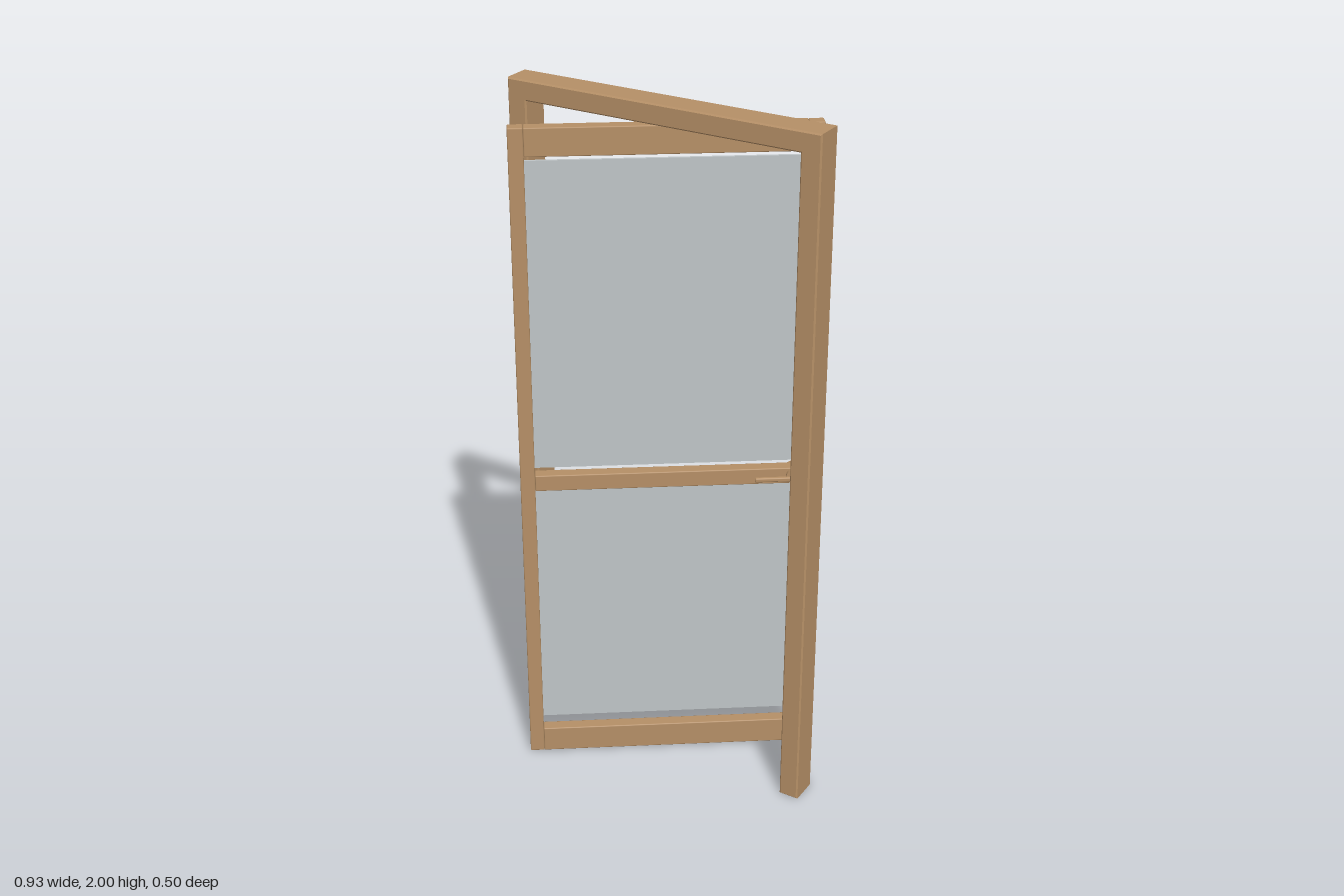
import * as THREE from 'three';
import { RoundedBoxGeometry } from 'three/addons/geometries/RoundedBoxGeometry.js';

export function createModel() {
  const wood = new THREE.MeshStandardMaterial({ color: 0xb58f66 });
  wood.name = 'wood';
  const glass = new THREE.MeshStandardMaterial({ color: 0xbfc5c7 });
  glass.name = 'frosted glass';

  const model = new THREE.Group();
  model.name = 'pivotDoor';

  const add = (parent, name, geometry, material, x = 0, y = 0, z = 0) => {
    const mesh = new THREE.Mesh(geometry, material);
    mesh.name = name;
    mesh.position.set(x, y, z);
    parent.add(mesh);
    return mesh;
  };
  // Box given by its extents along x and y, centred on z
  const bar = (parent, name, x0, x1, y0, y1, depth, material = wood, r = 0.003) =>
    add(parent, name,
      r ? new RoundedBoxGeometry(x1 - x0, y1 - y0, depth, 1, r) : new THREE.BoxGeometry(x1 - x0, y1 - y0, depth),
      material, (x0 + x1) / 2, (y0 + y1) / 2);

  // Door frame: one U-shaped outline, lightly bevelled
  const outline = new THREE.Shape([
    [-0.466, 0], [-0.408, 0], [-0.408, 1.943], [0.408, 1.943],
    [0.408, 0], [0.466, 0], [0.466, 2], [-0.466, 2],
  ].map(([x, y]) => new THREE.Vector2(x, y)));
  const bevel = 0.004;
  const frameGeometry = new THREE.ExtrudeGeometry(outline, {
    depth: 0.086 - 2 * bevel, bevelThickness: bevel, bevelSize: bevel,
    bevelOffset: -bevel, bevelSegments: 1,
  });
  frameGeometry.translate(0, 0, -0.043 + bevel);
  add(model, 'doorFrame', frameGeometry, wood);

  // Door leaf, turned open about its centre
  const leaf = new THREE.Group();
  leaf.name = 'doorLeaf';
  leaf.rotation.y = THREE.MathUtils.degToRad(35);
  model.add(leaf);

  const thick = 0.037, half = 0.409, inner = 0.368;
  bar(leaf, 'leftStile', inner, half, 0.004, 1.94, thick);
  bar(leaf, 'rightStile', -half, -inner, 0.004, 1.94, thick);
  bar(leaf, 'topRail', -inner, inner, 1.862, 1.94, thick);
  bar(leaf, 'middleRail', -inner, inner, 0.888, 0.936, thick);
  bar(leaf, 'bottomRail', -inner, inner, 0.004, 0.082, thick);
  bar(leaf, 'upperPane', -inner, inner, 0.955, 1.848, 0.008, glass, 0);
  bar(leaf, 'lowerPane', -inner, inner, 0.12, 0.89, 0.008, glass, 0);

  // Lever handles on both faces
  for (const side of [1, -1]) {
    const handle = new THREE.Group();
    handle.name = side > 0 ? 'frontHandle' : 'backHandle';
    handle.position.set(0.358, 0.913, 0);
    leaf.add(handle);
    add(handle, 'rosette', new THREE.CylinderGeometry(0.023, 0.023, 0.01, 24), wood, 0, 0, side * 0.022)
      .rotation.x = Math.PI / 2;
    add(handle, 'spindle', new THREE.CylinderGeometry(0.007, 0.007, 0.022, 16), wood, 0, 0, side * 0.029)
      .rotation.x = Math.PI / 2;
    add(handle, 'lever', new RoundedBoxGeometry(0.11, 0.013, 0.012, 2, 0.004), wood, -0.058, 0, side * 0.039);
  }
  return model;
}
